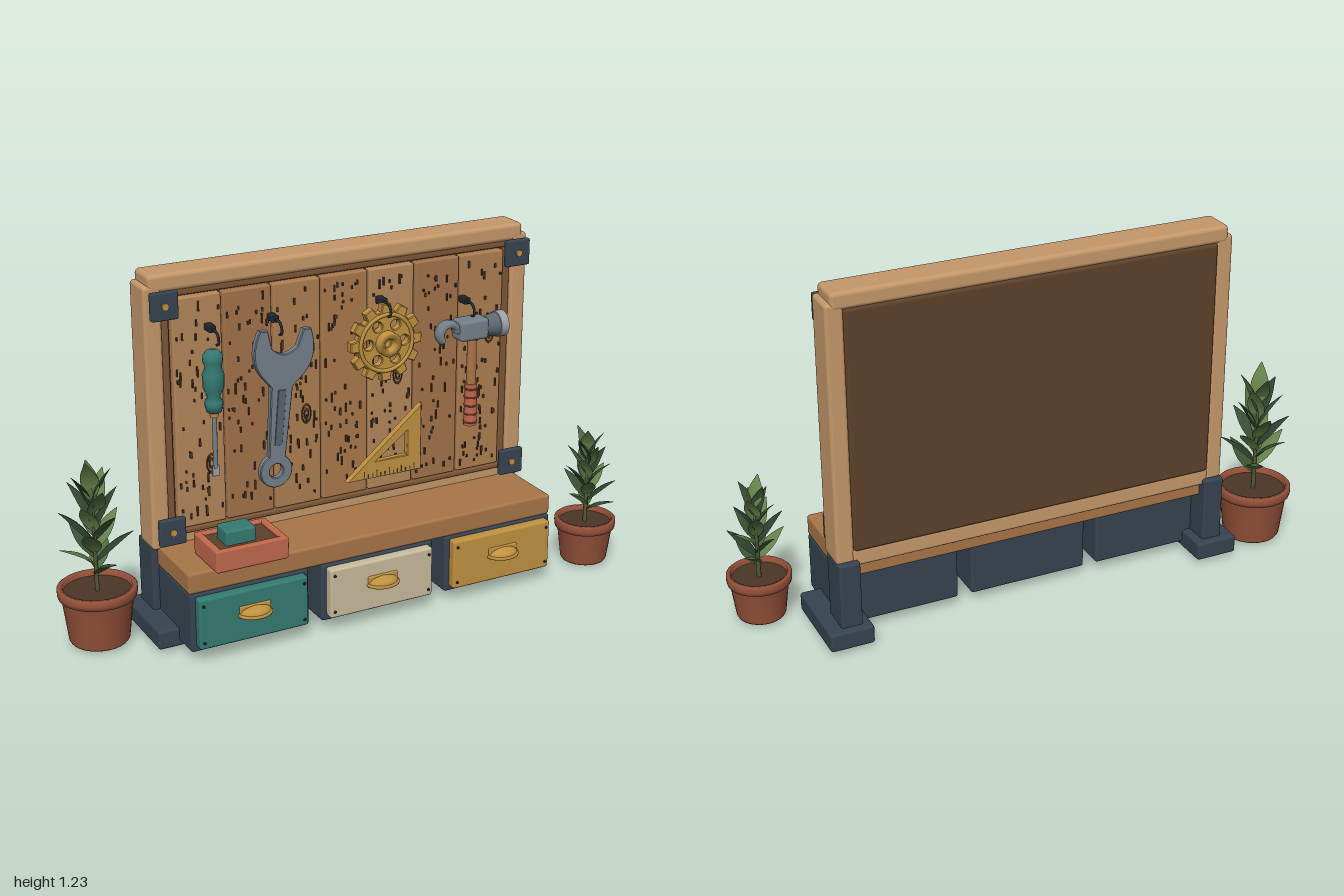
import * as THREE from 'three';
import { RoundedBoxGeometry } from 'three/addons/geometries/RoundedBoxGeometry.js';
import { mergeGeometries } from 'three/addons/utils/BufferGeometryUtils.js';

const CX = 0.0165; // bench centre line
const C = {
  wood: 0xc4986a, shelf: 0xa87548, dark: 0x5c402a, metal: 0x364350, teal: 0x357a72, cream: 0xc8bb9c,
  gold: 0xbf9140, red: 0xc0684c, steel: 0x74808a, pale: 0x9aa3a8, pot: 0x95513a, soil: 0x4a3628, black: 0x23282e,
};

const mat = (color, double = false) =>
  new THREE.MeshStandardMaterial({ color, side: double ? THREE.DoubleSide : THREE.FrontSide });

function add(parent, name, geo, color, pos = [0, 0, 0], rot = [0, 0, 0], double = false) {
  const m = new THREE.Mesh(geo, mat(color, double));
  m.name = name;
  m.position.set(...pos);
  m.rotation.set(...rot);
  parent.add(m);
  return m;
}

// Rounded box given by its limits on each axis
function box(parent, name, color, [x0, x1], [y0, y1], [z0, z1], r = 0.008) {
  const w = x1 - x0, h = y1 - y0, d = z1 - z0;
  const geo = new RoundedBoxGeometry(w, h, d, 2, Math.min(r, w / 3, h / 3, d / 3));
  return add(parent, name, geo, color, [(x0 + x1) / 2, (y0 + y1) / 2, (z0 + z1) / 2]);
}

function group(parent, name, x = 0, y = 0, z = 0) {
  const g = new THREE.Group();
  g.name = name;
  g.position.set(x, y, z);
  parent.add(g);
  return g;
}

const cyl = (r0, r1, h, n = 20) => new THREE.CylinderGeometry(r0, r1, h, n);
const lathe = (pts, n = 24) => new THREE.LatheGeometry(pts.map(p => new THREE.Vector2(...p)), n);
const plate = (shape, depth) => new THREE.ExtrudeGeometry(shape, {
  depth, curveSegments: 16, bevelEnabled: true, bevelSize: 0.003, bevelThickness: 0.003, bevelSegments: 1,
}).translate(0, 0, -depth / 2);
const circleHole = (x, y, r) => new THREE.Path().absarc(x, y, r, 0, Math.PI * 2, true);

function seeded(seed) {
  return () => (seed = (seed * 16807) % 2147483647) / 2147483647;
}

function frame(root) {
  const g = group(root, 'frame', CX);
  box(g, 'topBeam', C.wood, [-0.685, 0.685], [1.165, 1.225], [-0.19, -0.073], 0.015);
  box(g, 'bottomRail', C.wood, [-0.65, 0.65], [0.285, 0.345], [-0.188, -0.08], 0.01);
  box(g, 'backPanel', C.dark, [-0.645, 0.645], [0.34, 1.17], [-0.196, -0.1], 0.012);
  box(g, 'topTrim', 0x7d5636, [-0.645, 0.645], [1.145, 1.17], [-0.11, -0.08]);
  box(g, 'bottomTrim', 0x7d5636, [-0.645, 0.645], [0.34, 0.358], [-0.11, -0.07]);
  for (const s of [-1, 1]) {
    const lim = (a, b) => (s > 0 ? [a, b] : [-b, -a]);
    box(g, 'post', C.wood, lim(0.642, 0.703), [0.3, 1.19], [-0.188, -0.073], 0.012);
    box(g, 'sideTrim', 0x7d5636, lim(0.615, 0.645), [0.345, 1.16], [-0.11, -0.085]);
    // corner plates with a bolt
    for (const y of [0.37, 1.132]) {
      box(g, 'cornerPlate', C.metal, lim(0.6, 0.692), [y - 0.046, y + 0.046], [-0.057, -0.035], 0.006);
      add(g, 'bolt', cyl(0.012, 0.012, 0.008, 10), C.gold, [s * 0.646, y, -0.033], [Math.PI / 2, 0, 0]);
    }
    // standing column and foot
    box(g, 'column', C.metal, lim(0.63, 0.703), [0.003, 0.308], [-0.207, -0.092], 0.008);
    box(g, 'foot', C.metal, lim(0.6, 0.751), [0.014, 0.08], [-0.233, 0.065], 0.01);
    box(g, 'footPad', C.metal, lim(0.645, 0.7), [0, 0.02], [-0.2, 0.02], 0.004);
  }
}

function planks(root) {
  const g = group(root, 'planks', CX);
  const rand = seeded(77), grain = [], tones = [0xb3865a, 0xa97a4c, 0xac7e50, 0xa2734a];
  const w = 1.226 / 7;
  for (let i = 0; i < 7; i++) {
    const x = -0.613 + w * (i + 0.5);
    box(g, 'plank', tones[(i * 3) % 4], [x - w / 2 + 0.003, x + w / 2 - 0.003], [0.36, 1.14], [-0.11, -0.073], 0.006);
    // short dark grain strokes
    for (let k = 0; k < 55; k++) {
      const h = 0.008 + 0.026 * rand() ** 2;
      grain.push(new THREE.BoxGeometry(0.005, h, 0.008)
        .translate(x + (rand() - 0.5) * (w - 0.025), 0.39 + rand() * 0.72, -0.071));
    }
  }
  // knots
  for (const [x, y] of [[-0.49, 0.57], [-0.145, 0.68], [0.2, 0.76], [0.56, 0.85]])
    for (const r of [0.01, 0.021])
      grain.push(new THREE.TorusGeometry(r, 0.003, 5, 14).scale(0.8, 1.5, 1).translate(x, y, -0.071));
  add(g, 'woodGrain', mergeGeometries(grain.map(q => q.toNonIndexed())), 0x4f3826);
}

function drawers(root) {
  box(root, 'shelf', C.shelf, [-0.665, 0.698], [0.237, 0.31], [-0.17, 0.16], 0.01);
  [[-0.452, C.teal], [0.016, C.cream], [0.486, C.gold]].forEach(([x, color]) => {
    const g = group(root, 'drawer', x);
    box(g, 'drawerCase', C.metal, [-0.211, 0.211], [0.033, 0.238], [-0.12, 0.162], 0.01);
    box(g, 'drawerFront', color, [-0.193, 0.193], [0.052, 0.228], [0.15, 0.193], 0.008);
    for (const s of [-1, 1]) {
      for (const y of [0.075, 0.205])
        add(g, 'drawerPin', cyl(0.005, 0.005, 0.006, 8), C.black, [s * 0.178, y, 0.194], [Math.PI / 2, 0, 0]);
    }
    // cup handle
    box(g, 'handlePlate', C.gold, [-0.055, 0.055], [0.15, 0.176], [0.188, 0.2], 0.004);
    const cup = add(g, 'handleCup', new THREE.SphereGeometry(1, 20, 8, 0, Math.PI, 0, Math.PI / 2), C.gold,
      [0, 0.147, 0.192], [0, 0, 0], true);
    cup.scale.set(0.056, 0.026, 0.042);
    const lip = add(g, 'handleLip', new THREE.TorusGeometry(0.054, 0.006, 8, 20, Math.PI), C.gold,
      [0, 0.145, 0.194], [Math.PI / 2, 0, 0]);
    lip.scale.y = 0.78;
  });
}

function tray(root) {
  const g = group(root, 'tray', -0.457, 0.31, 0.11);
  box(g, 'trayBase', C.red, [-0.127, 0.127], [0, 0.058], [-0.09, 0.09], 0.008);
  for (const s of [-1, 1]) {
    box(g, 'traySide', C.red, [s * 0.115 - 0.012, s * 0.115 + 0.012], [0.03, 0.075], [-0.09, 0.09], 0.005);
    box(g, 'trayEnd', C.red, [-0.127, 0.127], [0.03, 0.075], [s * 0.078 - 0.012, s * 0.078 + 0.012], 0.005);
  }
  box(g, 'trayFilling', C.dark, [-0.105, 0.105], [0.03, 0.066], [-0.07, 0.07], 0.003);
  box(g, 'tealBlock', C.teal, [-0.07, 0.035], [0.06, 0.115], [-0.038, 0.042], 0.008);
}

function hook(root, x, y) {
  const g = group(root, 'hook', x, y, 0);
  box(g, 'hookPlate', C.black, [-0.012, 0.012], [-0.01, 0.012], [-0.075, -0.032], 0.003);
  const path = new THREE.CatmullRomCurve3([[0, -0.035], [0, -0.008], [-0.012, 0.008], [-0.035, 0.01], [-0.042, -0.004]]
    .map(([py, z]) => new THREE.Vector3(0, py, z)));
  add(g, 'hookWire', new THREE.TubeGeometry(path, 14, 0.005, 6), C.black);
}

function screwdriver(root) {
  const g = group(root, 'screwdriver', -0.484, 0.77, -0.015);
  add(g, 'screwdriverHandle', lathe([[0, 0], [0.024, 0], [0.03, 0.02], [0.03, 0.035], [0.02, 0.05], [0.034, 0.08],
    [0.036, 0.125], [0.026, 0.15], [0.033, 0.168], [0.032, 0.19], [0.02, 0.204], [0, 0.205]], 16), C.teal);
  add(g, 'screwdriverCollar', cyl(0.016, 0.014, 0.02, 12), C.gold, [0, -0.008, 0]);
  add(g, 'screwdriverShaft', cyl(0.008, 0.008, 0.19, 10), C.steel, [0, -0.1, 0]);
  box(g, 'screwdriverTip', C.pale, [-0.012, 0.012], [-0.222, -0.185], [-0.004, 0.004], 0.002);
}

function wrench(root) {
  const g = group(root, 'wrench', -0.267, 0.522, -0.027);
  g.rotation.z = -0.085;
  const s = new THREE.Shape();
  s.moveTo(0.027, 0.048);
  s.lineTo(0.036, 0.29);
  s.bezierCurveTo(0.06, 0.32, 0.135, 0.36, 0.09, 0.478);
  s.lineTo(0.066, 0.478);
  s.lineTo(0.048, 0.42);
  s.quadraticCurveTo(0, 0.375, -0.048, 0.42);
  s.lineTo(-0.066, 0.478);
  s.lineTo(-0.09, 0.478);
  s.bezierCurveTo(-0.135, 0.36, -0.06, 0.32, -0.036, 0.29);
  s.lineTo(-0.027, 0.048);
  s.absarc(0, 0, 0.055, 2.09, 1.05 + Math.PI * 2, false);
  s.holes.push(circleHole(0, 0, 0.027));
  add(g, 'wrenchBody', plate(s, 0.018), C.steel);
  box(g, 'wrenchInset', 0x59636c, [-0.014, 0.014], [0.09, 0.28], [0.008, 0.015], 0.003);
}

function gear(root) {
  const g = group(root, 'gear', 0.142, 0.9, -0.03);
  const s = new THREE.Shape(), n = 12, step = Math.PI * 2 / n;
  for (let i = 0; i < n; i++)
    [[-0.32, 0.106], [-0.2, 0.131], [0.2, 0.131], [0.32, 0.106]].forEach(([f, r], k) => {
      const a = (i + f) * step;
      s[i + k ? 'lineTo' : 'moveTo'](r * Math.cos(a), r * Math.sin(a));
    });
  s.closePath();
  for (let i = 0; i < 6; i++) s.holes.push(circleHole(0.067 * Math.cos(i * 1.0472), 0.067 * Math.sin(i * 1.0472), 0.02));
  s.holes.push(circleHole(0, 0, 0.018));
  add(g, 'gearPlate', plate(s, 0.024), C.gold);
  add(g, 'gearRim', new THREE.TorusGeometry(0.097, 0.007, 8, 36), C.gold, [0, 0, 0.015]);
  add(g, 'gearHub', lathe([[0.02, -0.032], [0.042, -0.032], [0.042, 0.042], [0.02, 0.042], [0.02, -0.032]]), C.gold,
    [0, 0, 0], [Math.PI / 2, 0, 0], true);
}

function setSquare(root) {
  const s = new THREE.Shape([[0, 0.427], [0.278, 0.427], [0.278, 0.658]].map(p => new THREE.Vector2(...p)));
  s.holes.push(new THREE.Path([[0.1, 0.483], [0.228, 0.578], [0.228, 0.483]].map(p => new THREE.Vector2(...p))));
  const g = group(root, 'setSquare', 0, 0, -0.028);
  add(g, 'setSquareBody', plate(s, 0.018), C.gold);
  for (let i = 0; i < 13; i++) {
    const l = i % 3 ? 0.012 : 0.022;
    add(g, 'tickMark', new THREE.BoxGeometry(0.003, l, 0.003), C.dark, [0.06 + i * 0.016, 0.43 + l / 2, 0.0125]);
  }
}

function hammer(root) {
  const g = group(root, 'hammer', 0.46, 0.908, 0.002);
  const sideways = [0, 0, -Math.PI / 2];
  box(g, 'hammerHead', C.steel, [-0.06, 0.05], [-0.036, 0.036], [-0.036, 0.034], 0.012);
  add(g, 'hammerNeck', cyl(0.042, 0.03, 0.06), 0x5d666e, [0.065, 0, 0], sideways);
  add(g, 'hammerFace', cyl(0.045, 0.045, 0.03), C.pale, [0.107, 0, 0], sideways);
  add(g, 'hammerClaw', new THREE.TorusGeometry(0.033, 0.014, 8, 20, 3.9), C.steel, [-0.092, -0.006, -0.002]).scale.z = 1.8;
  add(g, 'hammerHandle', cyl(0.016, 0.019, 0.3, 14), C.shelf, [0.002, -0.18, 0]);
  add(g, 'hammerGrip', cyl(0.021, 0.023, 0.15, 14), C.red, [0.002, -0.272, 0]);
  for (let i = 0; i < 5; i++)
    add(g, 'gripRing', new THREE.TorusGeometry(0.0225, 0.003, 6, 16), 0x9a4f3a, [0.002, -0.335 + i * 0.03, 0], [Math.PI / 2, 0, 0]);
}

// Folded pointed leaf growing along +y and bending toward +z
function leafGeometry(length, width) {
  const geo = new THREE.PlaneGeometry(2, 1, 2, 7), p = geo.attributes.position;
  for (let i = 0; i < p.count; i++) {
    const t = p.getY(i) + 0.5, u = p.getX(i), w = width / 2 * Math.sin(Math.PI * t ** 0.85) + 0.001;
    p.setXYZ(i, u * w, t * length, -0.35 * w * (1 - Math.abs(u)) + 0.22 * length * t * t);
  }
  geo.computeVertexNormals();
  return geo;
}

function plant(root, x, z, r, potH, top, seed) {
  const g = group(root, 'pottedPlant', x, 0, z), rand = seeded(seed), k = r / 0.131;
  add(g, 'pot', lathe([[0, 0.01], [r * 0.72, 0.01], [r * 0.76, 0.018], [r * 0.9, potH - 0.035], [r * 0.98, potH - 0.033],
    [r, potH - 0.02], [r, potH - 0.004], [r * 0.96, potH], [r * 0.86, potH], [r * 0.84, potH - 0.03]], 28), C.pot, [0, 0, 0], [0, 0, 0], true);
  add(g, 'soil', cyl(r * 0.86, r * 0.84, 0.02, 24), C.soil, [0, potH - 0.028, 0]);
  const base = potH - 0.03, stemH = top - base - 0.11 * k;
  add(g, 'stem', cyl(0.005, 0.008, stemH, 8), 0x4c5a35, [0, base + stemH / 2, 0]);
  const greens = [0x3a4f33, 0x50693f, 0x64804b, 0x2f4230], n = 19;
  for (let i = 0; i < n; i++) {
    const f = i / (n - 1);
    const len = (0.16 - 0.03 * f + 0.02 * rand()) * k;
    const leaf = add(g, 'leaf', leafGeometry(len, 0.062 * k), greens[i % 4],
      [0, base + stemH * (0.2 + 0.8 * f), 0], [0, 0, 0], true);
    leaf.rotation.set(0.75 - 0.7 * f + 0.12 * rand(), i * 2.4 + 0.4 * rand(), 0, 'YXZ');
  }
}

export function createModel() {
  const root = new THREE.Group();
  root.name = 'toolWallBench';
  frame(root);
  planks(root);
  drawers(root);
  tray(root);
  for (const [x, y] of [[-0.473, 1.035], [-0.254, 1.035], [0.142, 1.035], [0.463, 0.99]]) hook(root, x, y);
  screwdriver(root);
  wrench(root);
  gear(root);
  setSquare(root);
  hammer(root);
  plant(root, -0.869, -0.118, 0.131, 0.203, 0.617, 11);
  plant(root, 0.889, 0.107, 0.108, 0.168, 0.49, 29);
  return root;
}
